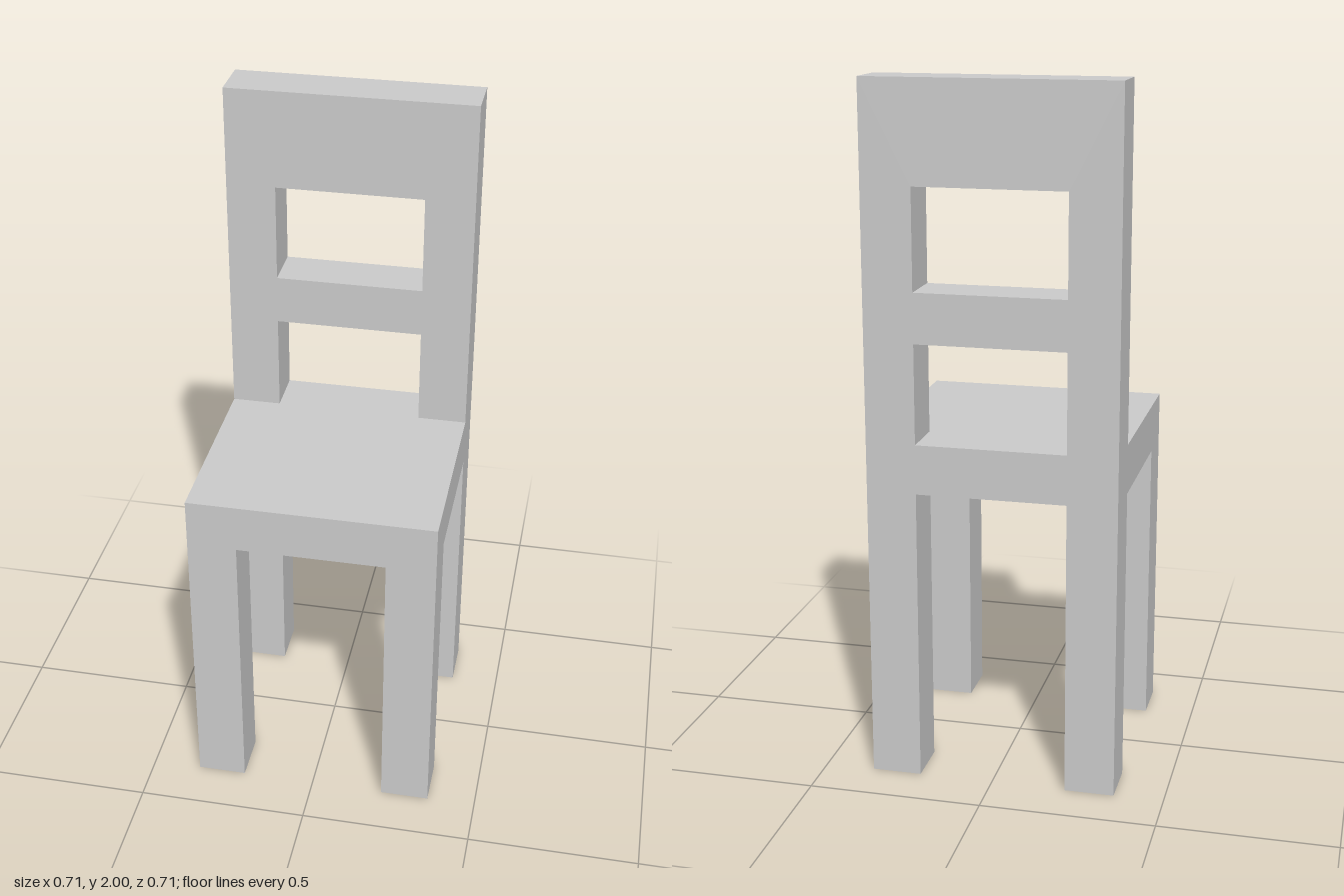
import * as THREE from 'three';

const U = 1 / 7;        // module: thickness of every leg, rail and the seat
const HALF = 2.5 * U;   // half the width and depth

export function createModel() {
  const chair = new THREE.Group();
  chair.name = 'chair';
  const material = new THREE.MeshStandardMaterial({ color: 0xcccccc, flatShading: true });

  const add = (name, geometry, x, y, z) => {
    const mesh = new THREE.Mesh(geometry, material);
    mesh.name = name;
    mesh.position.set(x, y, z);
    chair.add(mesh);
  };
  const points = (list) => list.map(([x, y]) => new THREE.Vector2(x * U, y * U));

  // Back frame: rear legs, posts and rails in one piece, with two openings
  const frame = new THREE.Shape(points([
    [-2.5, 0], [-1.5, 0], [-1.5, 6], [1.5, 6], [1.5, 0], [2.5, 0], [2.5, 14], [-2.5, 14],
  ]));
  for (const y of [7, 10]) {
    frame.holes.push(new THREE.Path(points([
      [-1.5, y], [-1.5, y + 2], [1.5, y + 2], [1.5, y],
    ])));
  }
  add('backFrame', new THREE.ExtrudeGeometry(frame, { depth: U, bevelEnabled: false }), 0, 0, -HALF);

  // Seat slab, butting against the back frame
  add('seat', new THREE.BoxGeometry(5 * U, U, 4 * U), 0, 6.5 * U, 0.5 * U);

  // Front legs
  for (const [name, side] of [['frontLegLeft', 1], ['frontLegRight', -1]]) {
    add(name, new THREE.BoxGeometry(U, 6 * U, U), side * 2 * U, 3 * U, 2 * U);
  }

  return chair;
}
